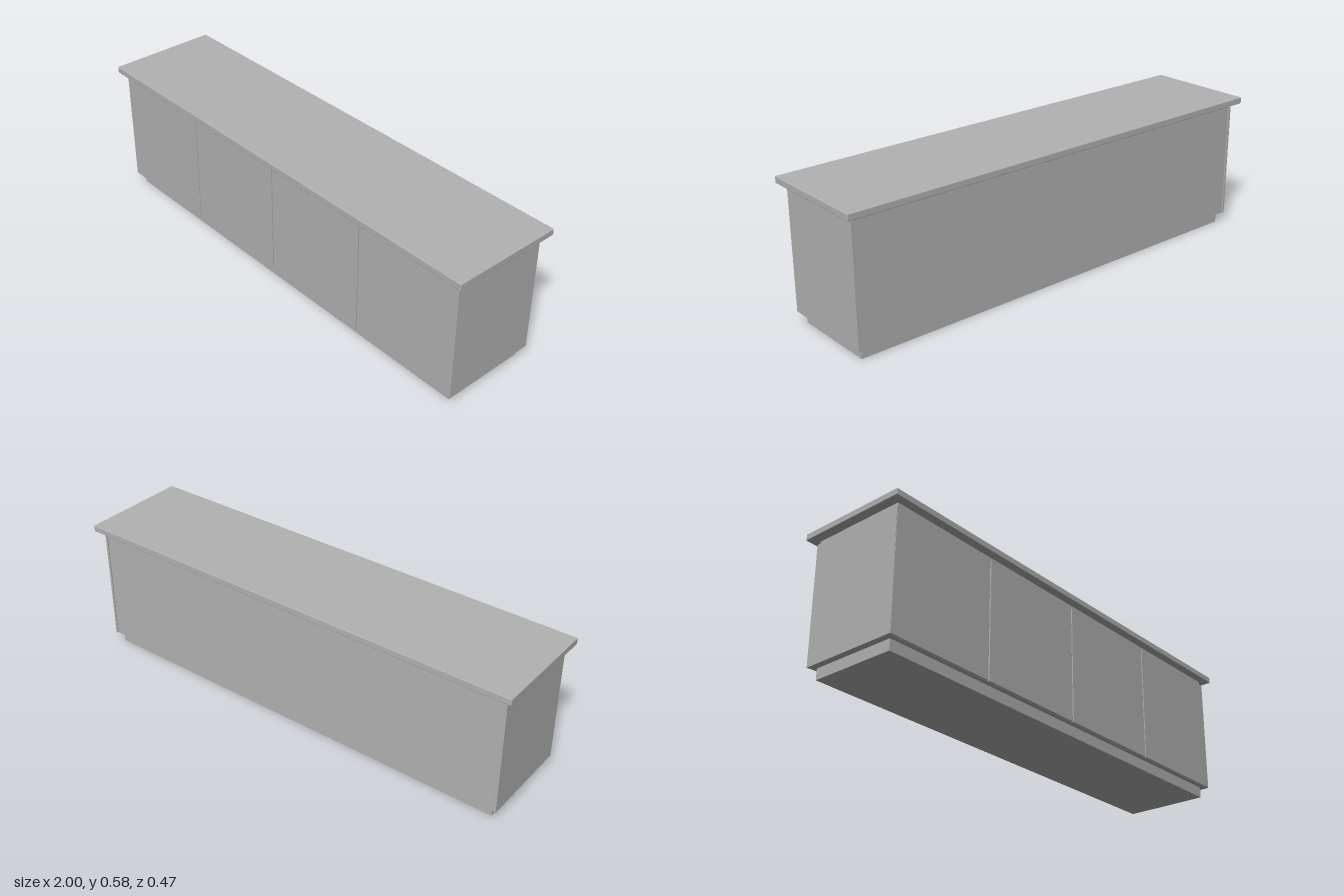
import * as THREE from 'three';
import { RoundedBoxGeometry } from 'three/addons/geometries/RoundedBoxGeometry.js';

export function createModel() {
  const group = new THREE.Group();
  group.name = 'sideboard';
  const grey = new THREE.MeshStandardMaterial({ color: 0xb2b2b2 });
  grey.name = 'plain grey';

  // Box given by its lower and upper limits, with optional softened edges
  function block(name, [x0, x1], [y0, y1], [z0, z1], radius = 0) {
    const size = [x1 - x0, y1 - y0, z1 - z0];
    const geometry = radius
      ? new RoundedBoxGeometry(...size, 2, radius)
      : new THREE.BoxGeometry(...size);
    const mesh = new THREE.Mesh(geometry, grey);
    mesh.name = name;
    mesh.position.set((x0 + x1) / 2, (y0 + y1) / 2, (z0 + z1) / 2);
    group.add(mesh);
  }

  // Recessed base, inner cabinet and overhanging top
  block('plinth', [-0.945, 0.945], [0, 0.046], [-0.181, 0.182]);
  block('carcass', [-0.962, 0.962], [0.045, 0.558], [-0.2, 0.202]);
  block('worktop', [-1, 1], [0.557, 0.584], [-0.236, 0.236], 0.003);

  // End panels, standing slightly proud of the back
  for (const side of [-1, 1]) {
    const xs = [side * 0.961, side * 0.971].sort((a, b) => a - b);
    block(side > 0 ? 'leftEndPanel' : 'rightEndPanel', xs, [0.045, 0.541], [-0.205, 0.208], 0.001);
  }

  // Four doors separated by narrow gaps
  const pitch = 0.487, gap = 0.005;
  for (let i = 0; i < 4; i++) {
    const x0 = (i - 2) * pitch;
    const left = i === 0 ? -0.969 : x0 + gap / 2;
    const right = i === 3 ? 0.969 : x0 + pitch - gap / 2;
    block(`door${i + 1}`, [left, right], [0.046, 0.54], [0.195, 0.209], 0.001);
  }

  return group;
}
